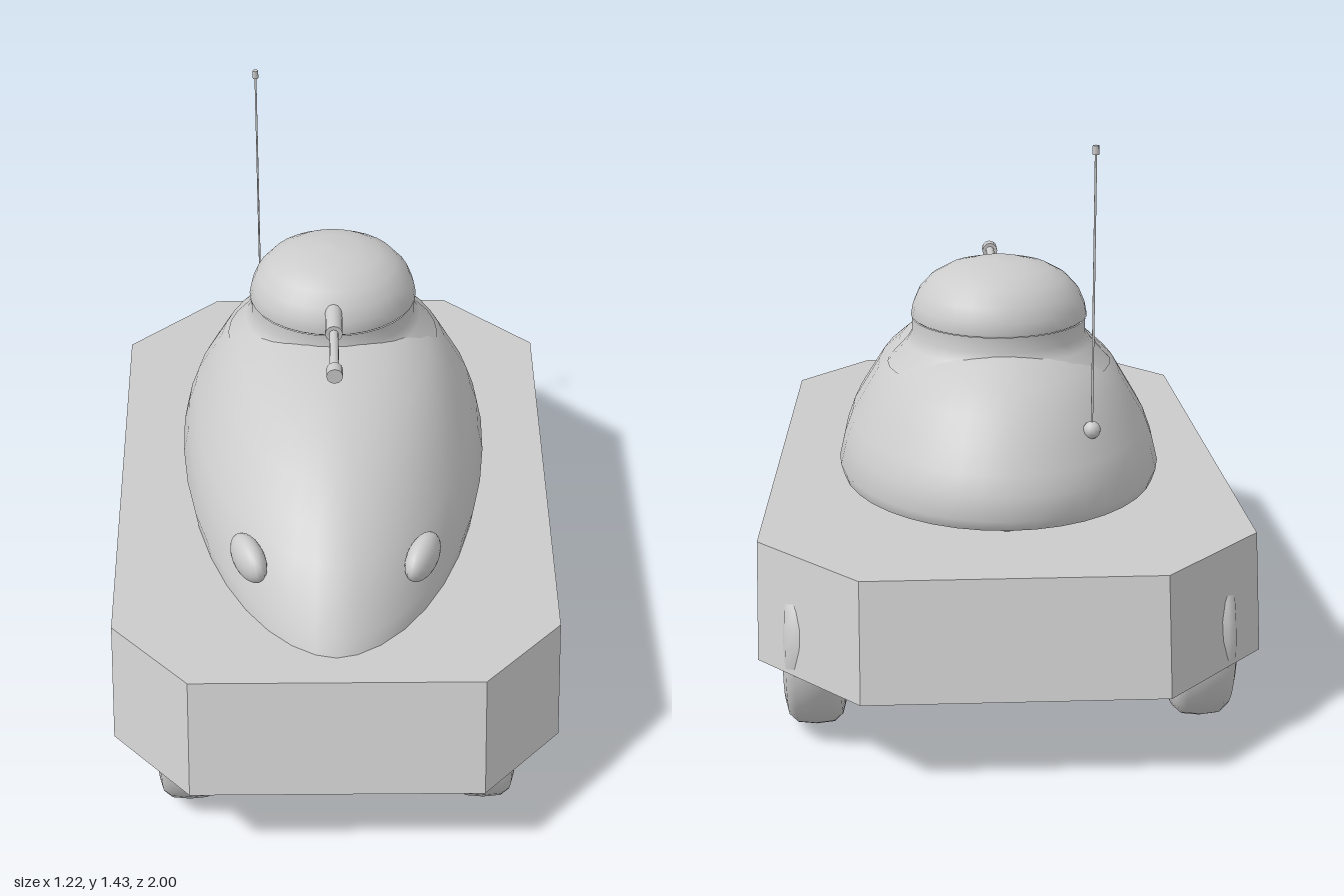
import * as THREE from 'three';
import { ConvexGeometry } from 'three/addons/geometries/ConvexGeometry.js';

const grey = new THREE.MeshStandardMaterial({ color: 0xcccccc });
const flat = new THREE.MeshStandardMaterial({ color: 0xcccccc, flatShading: true });
const doubleSided = new THREE.MeshStandardMaterial({ color: 0xcccccc, side: THREE.DoubleSide });

function part(parent, name, geometry, x = 0, y = 0, z = 0, material = grey) {
  const mesh = new THREE.Mesh(geometry, material);
  mesh.name = name;
  mesh.position.set(x, y, z);
  parent.add(mesh);
  return mesh;
}

const lathe = (profile, segments) =>
  new THREE.LatheGeometry(profile.map(([r, y]) => new THREE.Vector2(r, y)), segments);

const rodX = (r, length, sides = 12) => new THREE.CylinderGeometry(r, r, length, sides).rotateZ(Math.PI / 2);
const rodZ = (r, length, sides = 12) => new THREE.CylinderGeometry(r, r, length, sides).rotateX(Math.PI / 2);

// Eight-cornered hull whose ends lean inwards towards the top
function hullGeometry() {
  const points = [];
  const corners = [
    [0.36, -1, -0.91], [0.61, -0.74, -0.65], [0.56, 0.79, 0.69], [0.36, 1, 0.9],
  ];
  for (const [x, zBottom, zTop] of corners) {
    for (const side of [-1, 1]) {
      points.push(new THREE.Vector3(side * x, 0.22, zBottom), new THREE.Vector3(side * x, 0.49, zTop));
    }
  }
  return new ConvexGeometry(points);
}

// Egg-shaped shell lofted through level rings: [y, front z, back z, half width]
function shellGeometry() {
  const levels = [
    [0.49, 0.81, -0.71, 0.41], [0.53, 0.785, -0.725, 0.42], [0.6, 0.73, -0.715, 0.405],
    [0.66, 0.67, -0.69, 0.385], [0.72, 0.59, -0.65, 0.35], [0.78, 0.485, -0.6, 0.315],
    [0.83, 0.37, -0.54, 0.265], [0.87, 0.23, -0.46, 0.2], [0.895, 0.06, -0.4, 0.12],
  ];
  const n = 40, centre = -0.16, positions = [], indices = [];
  levels.forEach(([y, front, back, width], i) => {
    for (let j = 0; j < n; j++) {
      const a = (j / n) * Math.PI * 2, s = Math.sin(a), c = Math.cos(a);
      const x = width * Math.sign(s) * Math.pow(Math.abs(s), c > 0 ? 1.12 : 1);
      const z = centre + c * (c > 0 ? front - centre : centre - back);
      // The rear of the lower rim lifts clear of the deck
      const lift = Math.max(0, (0.25 - z) / 0.97) * 0.04 * Math.max(0, 1 - i / 3);
      positions.push(x, y + lift, z);
      if (i < levels.length - 1) {
        const p = i * n + j, q = i * n + ((j + 1) % n);
        indices.push(p, q, q + n, p, q + n, p + n);
      }
    }
  });
  // Crown, and underside with its own ring so the rim stays sharp
  const top = positions.length / 3;
  positions.push(0, 0.9, centre);
  for (let j = 0; j < n; j++) indices.push(top - n + j, top - n + ((j + 1) % n), top);
  const under = top + 1;
  positions.push(...positions.slice(0, n * 3), 0, 0.505, centre);
  for (let j = 0; j < n; j++) indices.push(under + ((j + 1) % n), under + j, under + n);
  const g = new THREE.BufferGeometry();
  g.setAttribute('position', new THREE.Float32BufferAttribute(positions, 3));
  g.setIndex(indices);
  g.computeVertexNormals();
  return g;
}

// Rounded tyre with a dished hub
function makeWheel(name, radius, halfWidth) {
  const wheel = new THREE.Group();
  wheel.name = name;
  const inner = radius * 0.48, h = halfWidth;
  const section = [
    [inner, -0.45 * h], [inner * 1.2, -0.85 * h], [radius * 0.76, -h], [radius * 0.9, -0.88 * h],
    [radius * 0.98, -0.6 * h], [radius, 0], [radius * 0.98, 0.6 * h], [radius * 0.9, 0.88 * h],
    [radius * 0.76, h], [inner * 1.2, 0.85 * h], [inner, 0.45 * h], [inner, -0.45 * h],
  ];
  part(wheel, 'tyre', lathe(section, 32).rotateZ(Math.PI / 2), 0, 0, 0, doubleSided);
  part(wheel, 'hub', rodX(inner * 1.02, h * 0.6, 24));
  part(wheel, 'hubCap', rodX(0.02, h * 1.3));
  return wheel;
}

export function createModel() {
  const model = new THREE.Group();
  model.name = 'armouredCar';

  part(model, 'hull', hullGeometry(), 0, 0, 0, flat);
  part(model, 'shell', shellGeometry());

  // Plinth and hinge in the gap below the raised shell
  const plinth = part(model, 'shellPlinth', new THREE.CylinderGeometry(1, 1, 0.03, 32), 0, 0.5, -0.13);
  plinth.scale.set(0.32, 1, 0.4);
  const hinge = part(model, 'rearHinge', new THREE.CylinderGeometry(0.025, 0.025, 0.1, 12), 0, 0.505, -0.59);
  hinge.rotation.x = -0.15;

  // Turret
  const turret = new THREE.Group();
  turret.name = 'turret';
  turret.position.z = -0.2;
  model.add(turret);
  part(turret, 'turretRing', lathe([[0.29, 0.81], [0.24, 0.865], [0.225, 0.89], [0.225, 0.93]], 32));
  part(turret, 'turretDome', lathe([
    [0.222, 0.93], [0.228, 0.935], [0.222, 0.965], [0.207, 1], [0.175, 1.035], [0.13, 1.06], [0.07, 1.076], [0, 1.08],
  ], 32));
  part(turret, 'gunSleeve', rodZ(0.023, 0.16), 0, 0.988, 0.23);
  part(turret, 'gunBarrel', rodZ(0.012, 0.22), 0, 0.988, 0.38);
  part(turret, 'gunMuzzle', rodZ(0.021, 0.035), 0, 0.988, 0.498);

  // Aerial
  part(model, 'aerialBase', new THREE.SphereGeometry(0.022, 12, 8), -0.21, 0.73, -0.555);
  part(model, 'aerialRod', new THREE.CylinderGeometry(0.003, 0.003, 0.69, 6), -0.21, 1.075, -0.555);
  part(model, 'aerialTip', new THREE.CylinderGeometry(0.008, 0.008, 0.022, 8), -0.21, 1.423, -0.555);

  for (const side of [-1, 1]) {
    const label = side > 0 ? 'left' : 'right';

    const lamp = part(model, label + 'Headlamp', new THREE.SphereGeometry(1, 20, 14), side * 0.218, 0.62, 0.578);
    lamp.scale.set(0.037, 0.054, 0.082);
    lamp.rotation.y = -side * 0.42;

    // Wheels with axle stubs and inner bearing blocks
    const axles = [
      ['Front', 0.372, 0.715, 0.19, 0.232],
      ['Rear', 0.475, -0.6, 0.235, 0.335],
    ];
    for (const [end, x, z, radius, bearingX] of axles) {
      const wheel = makeWheel(label + end + 'Wheel', radius, 0.074);
      wheel.position.set(side * x, radius + 0.004, z);
      model.add(wheel);
      part(model, label + end + 'Axle', rodX(0.015, x - bearingX), side * (x + bearingX) / 2, radius + 0.004, z);
      part(model, label + end + 'Bearing', rodX(0.065, 0.086, 8).rotateX(Math.PI / 8),
        side * bearingX, 0.21, z, flat);
    }
  }
  return model;
}
